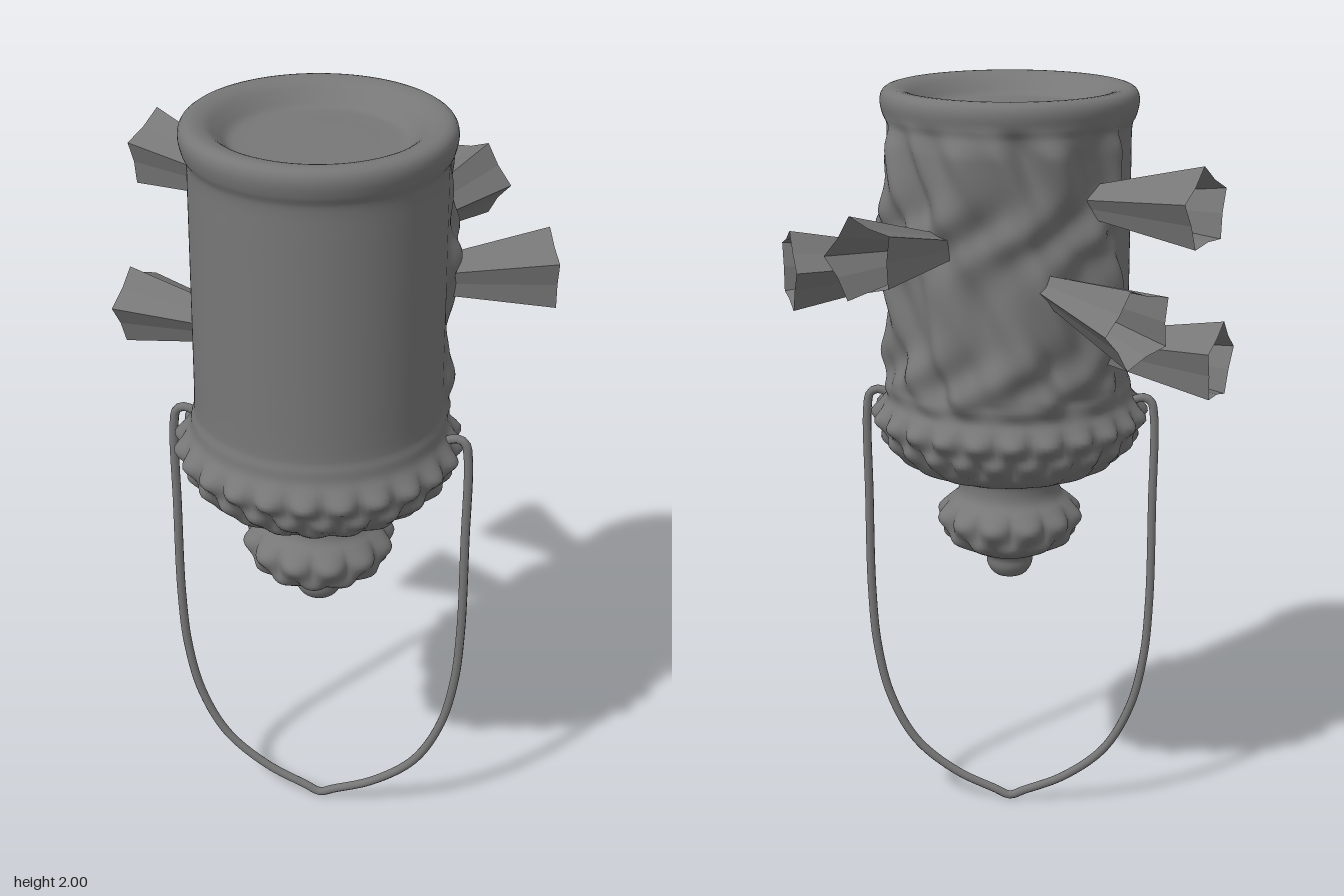
import * as THREE from 'three';
import { mergeVertices } from 'three/addons/utils/BufferGeometryUtils.js';

const CX = 0.025, CZ = 0.13; // axis of the vessel

// Rows of knobs: height, count, depth, half height, phase
const KNOBS = [
  [1.145, 24, 0.03, 0.028, 0], [1.08, 24, 0.03, 0.026, 0.5], [1.03, 20, 0.02, 0.02, 0],
  [0.86, 12, 0.025, 0.03, 0], [0.8, 12, 0.025, 0.025, 0.5],
];

// Extra radius at an angle and height: knobs below, rough bark at the back
function relief(a, y, r) {
  let d = 0;
  if (r > 0.1) {
    for (const [h, n, depth, w, phase] of KNOBS) {
      const lobe = Math.abs(Math.cos(a * n / 2 + phase * Math.PI));
      d += depth * (lobe - 0.4) * Math.exp(-(((y - h) / w) ** 2));
    }
  }
  if (r > 0.29 && y > 1.19) {
    const back = THREE.MathUtils.smoothstep(-Math.cos(a), 0.27, 0.36);
    const band = THREE.MathUtils.smoothstep(y, 1.19, 1.26) * (1 - THREE.MathUtils.smoothstep(y, 1.86, 1.95));
    const rough = Math.sin(5 * a + 13 * y + 2 * Math.sin(7 * a + 4 * y))
      + 0.8 * Math.sin(9 * a - 21 * y + 1.5 * Math.sin(17 * y)) + 0.5 * Math.sin(17 * a + 31 * y);
    d += back * band * (0.016 + 0.011 * rough);
  }
  return d;
}

function vesselGeometry() {
  // Profile from the bottom tip up to the lip and into the shallow dish
  const profile = [
    [0, 0.68], [0.04, 0.688], [0.06, 0.715], [0.065, 0.745], [0.1, 0.762], [0.14, 0.785],
    [0.165, 0.81], [0.183, 0.86], [0.165, 0.895], [0.14, 0.92], [0.133, 0.95], [0.142, 0.98],
    [0.2, 0.995], [0.25, 1.01], [0.295, 1.045], [0.325, 1.085], [0.335, 1.11], [0.35, 1.145],
    [0.338, 1.175], [0.323, 1.2], [0.318, 1.23], [0.311, 1.26], [0.31, 1.4], [0.31, 1.6],
    [0.31, 1.8], [0.311, 1.9], [0.322, 1.93], [0.329, 1.965], [0.322, 1.99], [0.3, 2],
    [0.265, 1.992], [0.235, 1.968], [0.215, 1.95], [0.19, 1.945], [0.1, 1.945], [0, 1.945],
  ].map(([x, y]) => new THREE.Vector2(x, y));
  const points = new THREE.SplineCurve(profile).getSpacedPoints(190);
  points.forEach(p => { p.x = Math.max(p.x, 0); p.y = Math.min(p.y, 2); });
  let geo = new THREE.LatheGeometry(points, 180);
  geo.deleteAttribute('normal');
  geo.deleteAttribute('uv');
  geo = mergeVertices(geo, 1e-5);
  const pos = geo.attributes.position;
  for (let i = 0; i < pos.count; i++) {
    const x = pos.getX(i), y = pos.getY(i), z = pos.getZ(i), r = Math.hypot(x, z);
    if (r < 0.01) continue;
    const k = 1 + relief(Math.atan2(x, z), y, r) / r;
    pos.setXYZ(i, x * k, y, z * k);
  }
  geo.computeVertexNormals();
  return geo;
}

// Faceted trumpet with a five-pointed mouth; the origin is at the mouth
function hornGeometry() {
  const length = 0.36;
  const geo = new THREE.CylinderGeometry(0.105, 0.035, length, 10, 1, true);
  const pos = geo.attributes.position;
  for (let i = 0; i < pos.count; i++) {
    const k = (i % 11) % 2 ? 0.75 : 1;
    pos.setXYZ(i, pos.getX(i) * k, pos.getY(i) - length / 2, pos.getZ(i) * k);
  }
  const flat = geo.toNonIndexed();
  flat.computeVertexNormals();
  return flat;
}

// Hanging wire loop, mirrored about the vessel axis and slightly turned
function wireGeometry() {
  const half = [
    [0.04, 0.03], [0.15, 0.08], [0.26, 0.17], [0.33, 0.3], [0.365, 0.45], [0.378, 0.62],
    [0.38, 0.9], [0.38, 1.14], [0.371, 1.182], [0.348, 1.192], [0.3, 1.17],
  ];
  const place = (u, y) => new THREE.Vector3(CX + u, y, CZ - 0.12 * u);
  const path = [
    ...half.map(([u, y]) => place(-u, y)).reverse(),
    place(0, 0.013),
    ...half.map(([u, y]) => place(u, y)),
  ];
  return new THREE.TubeGeometry(new THREE.CatmullRomCurve3(path), 200, 0.0115, 10);
}

export function createModel() {
  const group = new THREE.Group();
  const grey = new THREE.MeshStandardMaterial({ color: 0x777777 });
  grey.name = 'grey';
  const greyFacets = grey.clone(); // same colour for the thin, open horns
  greyFacets.name = 'grey facets';
  greyFacets.side = THREE.DoubleSide;
  greyFacets.flatShading = true;

  const add = (name, geo, mat) => {
    const mesh = new THREE.Mesh(geo, mat);
    mesh.name = name;
    group.add(mesh);
    return mesh;
  };

  add('vessel', vesselGeometry(), grey).position.set(CX, 0, CZ);
  add('wireHandle', wireGeometry(), grey);

  // Horns: mouth centre, then outward direction
  const horn = hornGeometry();
  const up = new THREE.Vector3(0, 1, 0);
  [
    [[0.245, 1.665, -0.46], [0.34, 0.1, -0.94]],
    [[0.52, 1.565, -0.175], [0.87, 0, -0.49]],
    [[-0.403, 1.51, -0.348], [-0.78, -0.1, -0.63]],
    [[-0.522, 1.757, -0.135], [-0.93, 0.05, -0.36]],
    [[-0.553, 1.355, -0.04], [-0.98, -0.03, -0.19]],
  ].forEach(([mouth, dir], i) => {
    const mesh = add('horn' + (i + 1), horn, greyFacets);
    mesh.position.set(...mouth);
    mesh.quaternion.setFromUnitVectors(up, new THREE.Vector3(...dir).normalize());
  });
  return group;
}
